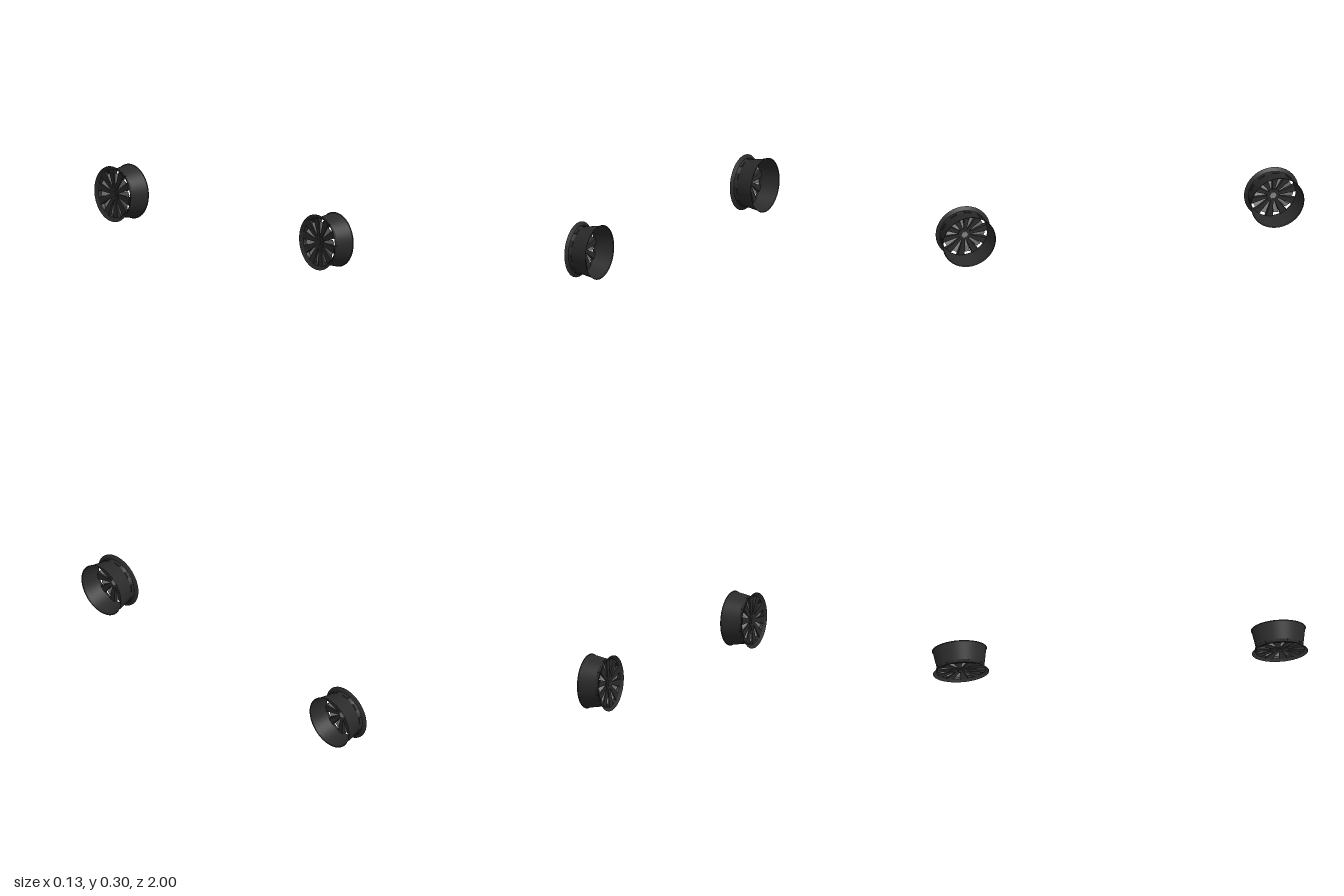
import * as THREE from 'three';

const SPOKES = 10;
const RIM_RADIUS = 0.15;
const CENTRE_Y = 0.152;
const CENTRE_Z = 0.85;

const dark = new THREE.MeshStandardMaterial({ color: 0x2a2a2a });
dark.name = 'darkMetal';
dark.side = THREE.DoubleSide;
const grey = new THREE.MeshStandardMaterial({ color: 0x828282 });
grey.name = 'greyMetal';

function mesh(name, geometry, material, parent) {
  const m = new THREE.Mesh(geometry, material);
  m.name = name;
  parent.add(m);
  return m;
}

// Tapered bar running outward along y; inner and outer ends are
// { r, half, front, back, skew }, where x is the wheel axis
function taperedBar(inner, outer) {
  const g = new THREE.BoxGeometry(2, 2, 2).toNonIndexed();
  const p = g.attributes.position;
  for (let i = 0; i < p.count; i++) {
    const end = p.getY(i) > 0 ? outer : inner;
    const frontSide = p.getX(i) < 0;
    const side = Math.sign(p.getZ(i));
    const x = (frontSide ? end.front : end.back) + side * (end.skew || 0);
    p.setXYZ(i, x, end.r, side * end.half * (frontSide ? 1 : 0.88));
  }
  g.computeVertexNormals();
  return g;
}

// Surface of revolution about x, from [x, radius] pairs
function turned(profile) {
  const points = profile.map(([x, r]) => new THREE.Vector2(r, x));
  return new THREE.LatheGeometry(points, 64).rotateZ(-Math.PI / 2);
}

function disc(radius, depth, x, sides) {
  return new THREE.CylinderGeometry(radius, radius, depth, sides)
    .rotateZ(-Math.PI / 2).translate(x, 0, 0);
}

const barrelGeometry = turned([[-0.035, 0.126], [0.062, 0.143]]);
const flareGeometry = turned([[-0.065, RIM_RADIUS], [-0.052, 0.131]]);
const stepGeometry = turned([[-0.052, 0.131], [-0.035, 0.126]]);
const lipGeometry = turned([[0.062, 0.143], [0.065, 0.147]]);
const spokeGeometry = taperedBar(
  { r: 0.026, half: 0.008, front: -0.051, back: -0.033 },
  { r: 0.13, half: 0.021, front: -0.058, back: -0.035 });
const bladeGeometry = taperedBar(
  { r: 0.03, half: 0.004, front: -0.046, back: -0.042 },
  { r: 0.113, half: 0.014, front: -0.048, back: -0.044, skew: 0.004 });

function createWheel(name) {
  const wheel = new THREE.Group();
  wheel.name = name;

  // Open barrel with its flared face and rear lip
  mesh('barrel', barrelGeometry, dark, wheel);
  mesh('barrelStep', stepGeometry, dark, wheel);
  mesh('frontFlare', flareGeometry, dark, wheel);
  mesh('rearLip', lipGeometry, dark, wheel);

  // Broad spokes with slanted grey blades between them
  for (let i = 0; i < SPOKES; i++) {
    const angle = THREE.MathUtils.degToRad(28 + i * 360 / SPOKES);
    mesh('spoke', spokeGeometry, dark, wheel).rotation.x = angle;
    mesh('blade', bladeGeometry, grey, wheel).rotation.x = angle + Math.PI / SPOKES;
  }

  // Hub with a hexagonal boss on its inner side
  mesh('hub', disc(0.034, 0.022, -0.043, 32), dark, wheel);
  mesh('hubCap', disc(0.02, 0.004, -0.055, 6), dark, wheel);
  mesh('hexBoss', disc(0.019, 0.006, -0.03, 6), grey, wheel);
  return wheel;
}

export function createModel() {
  const model = new THREE.Group();
  model.name = 'wheelPair';
  for (const [name, z] of [['frontWheel', CENTRE_Z], ['rearWheel', -CENTRE_Z]]) {
    const wheel = createWheel(name);
    wheel.position.set(0, CENTRE_Y, z);
    model.add(wheel);
  }
  return model;
}
